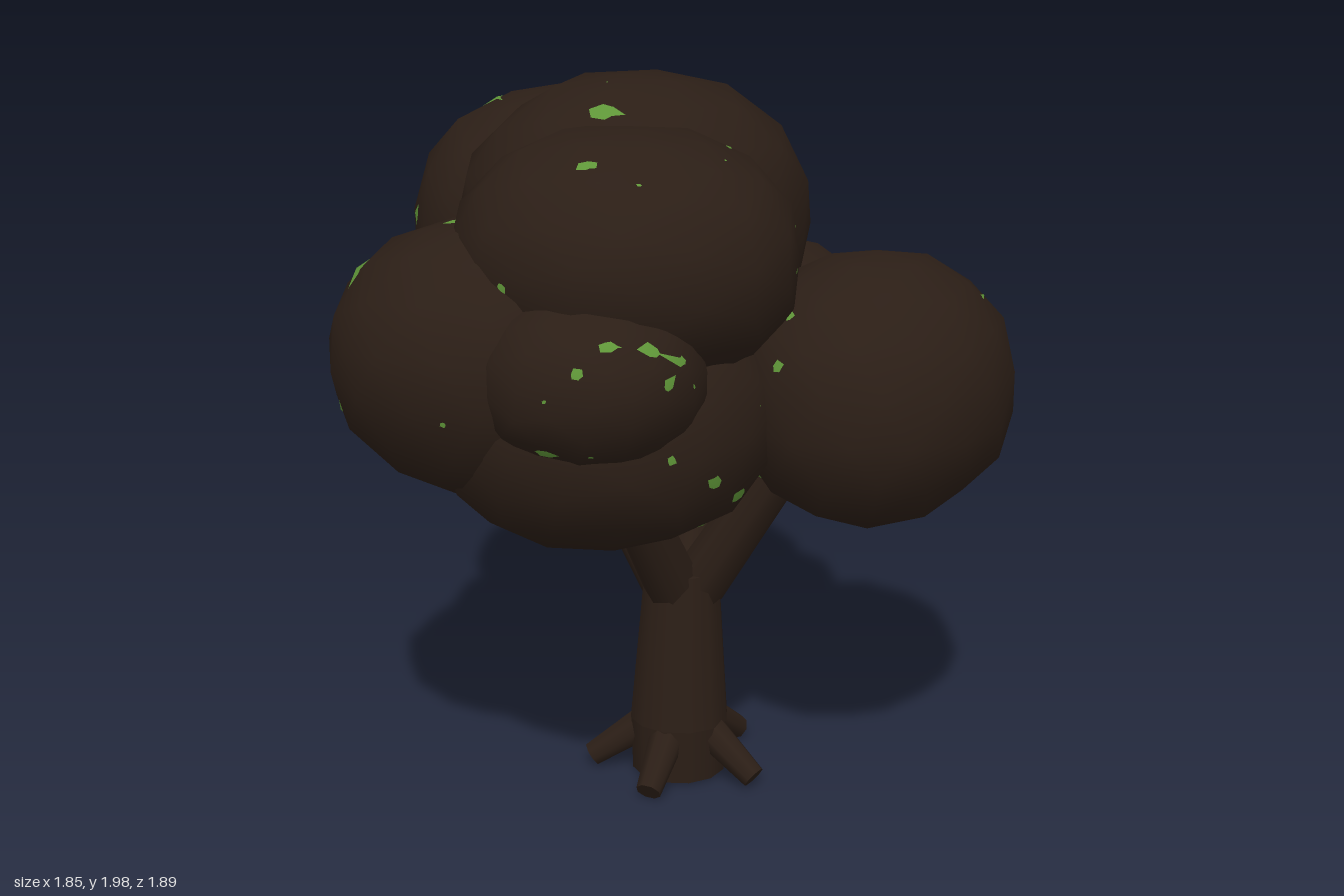
import * as THREE from 'three';
import { mergeVertices } from 'three/addons/utils/BufferGeometryUtils.js';

const bark = new THREE.MeshStandardMaterial({ color: 0x2b1e16 });
const leaf = new THREE.MeshStandardMaterial({ color: 0x5f9638 });

// Small seeded generator for the uneven foliage
function seeded(seed) {
  let s = seed;
  return () => (s = (s * 16807) % 2147483647) / 2147483647;
}

// Lumpy ellipsoid, round from above and a little squared from the side
function lumpGeometry(radii, size, jitter, seed) {
  const rand = seeded(seed * 7919 + 13);
  rand();
  let geo = new THREE.IcosahedronGeometry(1, 2);
  geo.deleteAttribute('normal');
  geo.deleteAttribute('uv');
  geo = mergeVertices(geo, 1e-4);
  geo.rotateX(rand() * 3).rotateY(rand() * 3);
  const pos = geo.attributes.position;
  const power = 2.25;
  const v = new THREE.Vector3();
  for (let i = 0; i < pos.count; i++) {
    v.fromBufferAttribute(pos, i);
    const sum = Math.hypot(v.x, v.z) ** power + Math.abs(v.y) ** power;
    v.multiplyScalar((size + (rand() - 0.5) * jitter) / sum ** (1 / power));
    pos.setXYZ(i, v.x * radii[0], v.y * radii[1], v.z * radii[2]);
  }
  geo.computeVertexNormals();
  return geo;
}

// Tapered round limb between two points
function limb(name, from, to, r0, r1, sides = 8) {
  const a = new THREE.Vector3(...from);
  const b = new THREE.Vector3(...to);
  const dir = b.clone().sub(a);
  const mesh = new THREE.Mesh(new THREE.CylinderGeometry(r1, r0, dir.length(), sides), bark);
  mesh.name = name;
  mesh.position.copy(a).add(b).multiplyScalar(0.5);
  mesh.quaternion.setFromUnitVectors(new THREE.Vector3(0, 1, 0), dir.normalize());
  return mesh;
}

export function createModel() {
  const tree = new THREE.Group();
  tree.name = 'tree';

  // Trunk, straight foot and tapered stem
  tree.add(limb('trunkFoot', [0.03, 0.015, 0.14], [0.03, 0.18, 0.14], 0.136, 0.142, 12));
  tree.add(limb('trunk', [0.03, 0.17, 0.14], [0.046, 0.62, 0.13], 0.143, 0.108, 12));

  // Roots spread around the foot
  for (const degrees of [13, 95, 158, 228, 297]) {
    const a = THREE.MathUtils.degToRad(degrees);
    const at = (r, y) => [0.035 + Math.sin(a) * r, y, 0.14 + Math.cos(a) * r];
    tree.add(limb('root', at(0.08, 0.16), at(0.255, 0.04), 0.054, 0.036));
  }

  // Branches rising into the crown
  const tips = [
    [0.23, 1.08, 0.44], [0.3, 1.08, -0.04], [-0.3, 1.08, 0.2], [-0.06, 1.12, -0.28],
  ];
  for (const tip of tips) {
    const base = [0.045 + tip[0] * 0.12, 0.57, 0.13 + (tip[2] - 0.13) * 0.12];
    tree.add(limb('branch', base, tip, 0.082, 0.066));
  }

  // Crown clumps: centre, radii and turn in degrees
  const clumps = [
    ['frontClump', [0.355, 1.19, 0.55], [0.47, 0.36, 0.375], 25],
    ['backLeftClump', [0.425, 1.215, -0.435], [0.47, 0.395, 0.535], 45],
    ['backClump', [0.135, 1.515, -0.495], [0.465, 0.405, 0.42], 0],
    ['topClump', [0.045, 1.6, -0.065], [0.5, 0.4, 0.46], 0],
    ['upperFrontClump', [-0.235, 1.575, 0.215], [0.455, 0.335, 0.455], 0],
    ['rightClump', [-0.485, 1.315, -0.015], [0.445, 0.36, 0.45], 0],
    ['lowerFrontClump', [-0.3, 1.155, 0.22], [0.47, 0.33, 0.425], 0],
    ['smallFrontClump', [-0.495, 1.335, 0.385], [0.29, 0.22, 0.285], 0],
    ['smallLeftClump', [0.45, 1.26, -0.02], [0.37, 0.235, 0.31], 0],
    ['smallBackClump', [-0.22, 1.295, -0.33], [0.31, 0.235, 0.325], 0],
  ];
  clumps.forEach(([name, centre, radii, turn], i) => {
    const clump = new THREE.Group();
    clump.name = name;
    clump.position.set(...centre);
    clump.rotation.y = THREE.MathUtils.degToRad(turn);
    // Dark outer shell, with green leaves peeking through where it dips
    const shell = new THREE.Mesh(lumpGeometry(radii, 1.0, 0.045, i + 1), bark);
    shell.name = 'outerFoliage';
    const inner = new THREE.Mesh(lumpGeometry(radii, 0.965, 0.045, i + 41), leaf);
    inner.name = 'leafPatches';
    clump.add(shell, inner);
    tree.add(clump);
  });

  return tree;
}
